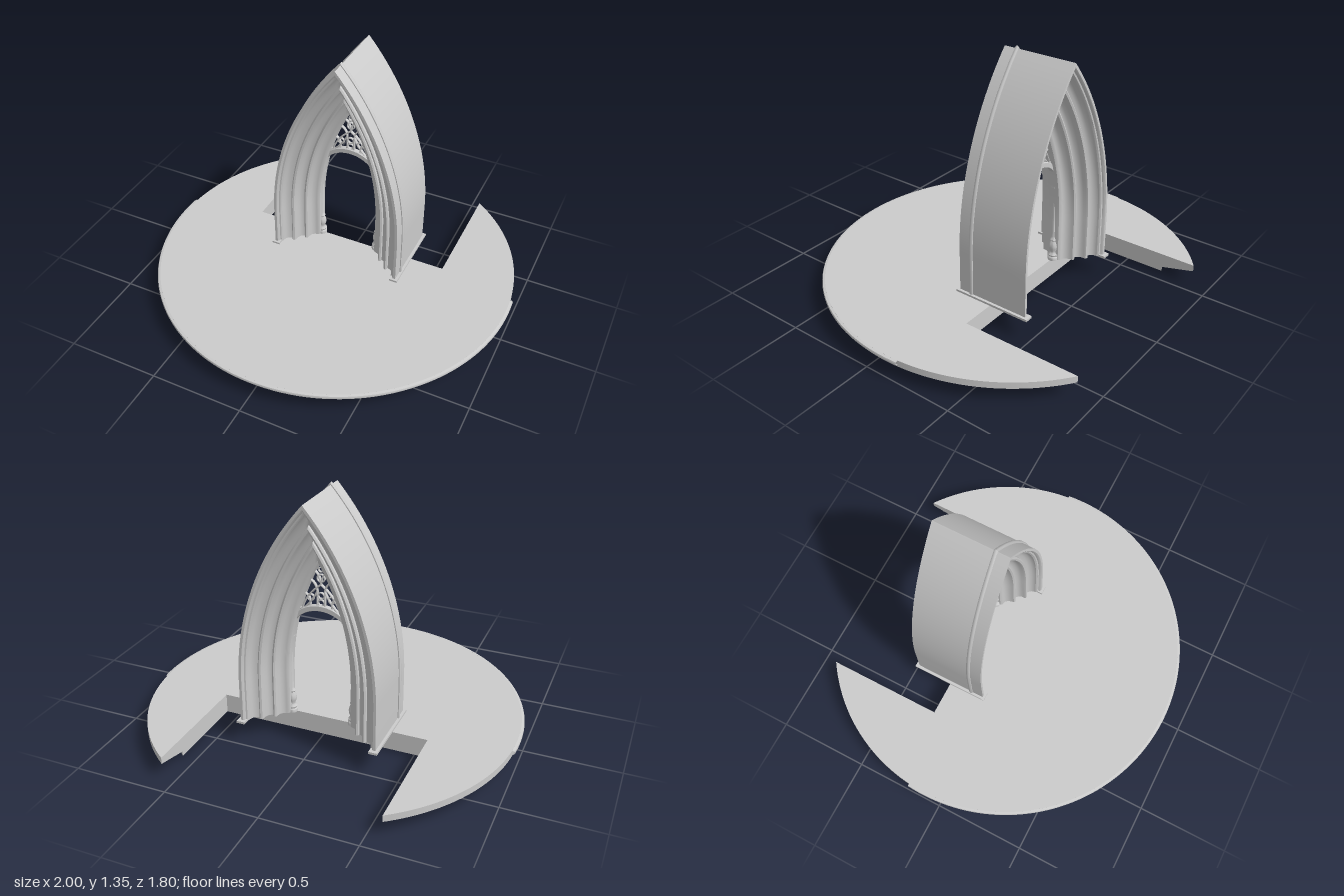
import * as THREE from 'three';
import { toCreasedNormals } from 'three/addons/utils/BufferGeometryUtils.js';

const MID_Z = -0.262, DISC_Z = -0.1, FLOOR = 0.115;
const material = new THREE.MeshStandardMaterial({ color: 0xcccccc, side: THREE.DoubleSide });

function addMesh(parent, name, geometry, x = 0, y = 0, z = 0) {
  const mesh = new THREE.Mesh(geometry, material);
  mesh.name = name;
  mesh.position.set(x, y, z);
  parent.add(mesh);
  return mesh;
}

// Joins closed rings of [x, y, z] and closes both (horizontal) ends
function loft(rings, startNormalY, endNormalY) {
  const n = rings[0].length, index = [];
  for (let i = 0; i < rings.length - 1; i++) {
    for (let j = 0; j < n; j++) {
      const k = (j + 1) % n, a = i * n, b = a + n;
      index.push(a + j, b + j, b + k, a + j, b + k, a + k);
    }
  }
  const cap = (ring, base, normalY) => {
    const pts = ring.map(p => new THREE.Vector2(p[0], p[2]));
    for (const [a, b, c] of THREE.ShapeUtils.triangulateShape(pts, [])) {
      const area = pts[b].clone().sub(pts[a]).cross(pts[c].clone().sub(pts[a]));
      if (-area * normalY > 0) index.push(base + a, base + b, base + c);
      else index.push(base + a, base + c, base + b);
    }
  };
  cap(rings[0], 0, startNormalY);
  cap(rings[rings.length - 1], (rings.length - 1) * n, endNormalY);
  const geometry = new THREE.BufferGeometry();
  geometry.setAttribute('position', new THREE.Float32BufferAttribute(rings.flat(2), 3));
  geometry.setIndex(index);
  return toCreasedNormals(geometry, 0.6);
}

// Pointed arch: two arcs of radius R struck from (+-C, SPRING); d is the inward offset
const R = 1.495, C = 1.125, SPRING = 0.35, STEPS = 28;
function archPoint(d, step) {
  if (step === 0) return [R - C - d, FLOOR + 0.002];
  const angle = Math.acos(C / (R - d)) * (step - 1) / STEPS;
  return [Math.max(0, (R - d) * Math.cos(angle) - C), SPRING + (R - d) * Math.sin(angle)];
}

// Sweeps a profile of [offset, z] up one side of the arch and down the other
function archSweep(profile) {
  const rings = [];
  const top = STEPS + 1;
  for (let i = 0; i <= 2 * top; i++) {
    const side = i <= top ? 1 : -1, step = i <= top ? i : 2 * top - i;
    rings.push(profile.map(([d, z]) => {
      const [x, y] = archPoint(d, step);
      return [side * x, y, z];
    }));
  }
  return loft(rings, -1, -1);
}

// Horizontal outline of the platform: a disc with a rectangular notch at the back
function discRing([r, y]) {
  const a = Math.PI - Math.asin(0.57 / r), ring = [], n = 120;
  for (let i = 0; i <= n; i++) {
    const phi = a - 2 * a * i / n;
    ring.push([r * Math.sin(phi), y, DISC_Z + r * Math.cos(phi)]);
  }
  ring.push([-0.57, y, -0.26], [0.57, y, -0.26]);
  return ring;
}

function createPlatform() {
  const platform = new THREE.Group();
  platform.name = 'platform';
  addMesh(platform, 'slab', loft(
    [[0.842, 0.01], [0.842, 0.036], [0.985, 0.08], [0.985, FLOOR]].map(discRing), -1, 1));

  // Mouldings run around the front part of the rim only
  const rim = (name, points, half) => addMesh(platform, name, toCreasedNormals(
    new THREE.LatheGeometry(points.map(p => new THREE.Vector2(...p)), 110, -half, 2 * half), 0.6),
  0, 0, DISC_Z);
  rim('upperRim', [[0.95, 0.069], [0.975, 0.078], [0.985, 0.083], [0.985, 0.09], [0.993, 0.093],
    [0.999, 0.099], [1, 0.105], [0.997, 0.112], [0.985, FLOOR]], 1.66);
  rim('lowerRim', [[0.82, 0.01], [0.82, 0], [0.848, 0], [0.855, 0.005], [0.855, 0.012], [0.846, 0.016],
    [0.846, 0.022], [0.858, 0.024], [0.862, 0.03], [0.857, 0.036], [0.842, 0.038]], 1.71);

  // Fine curved inlays in front of the doorway
  for (const radius of [0.27, 0.375]) {
    const inlay = new THREE.RingGeometry(radius - 0.003, radius, 64, 1, Math.PI * 1.18, Math.PI * 0.64);
    addMesh(platform, 'floorInlay', inlay.rotateX(-Math.PI / 2), 0, FLOOR + 0.0006, MID_Z);
  }
  return platform;
}

function createPortal() {
  const portal = new THREE.Group();
  portal.name = 'portal';

  // Stepped rolls and hollows, [offset inward, depth from the face]
  const moulding = [
    [0, 0], [0.014, 0], [0.02, 0.006], [0.022, 0.016], [0.03, 0.018], [0.036, 0.026], [0.036, 0.036],
    [0.042, 0.052], [0.056, 0.066], [0.074, 0.072], [0.076, 0.062], [0.084, 0.056], [0.094, 0.06],
    [0.098, 0.07], [0.098, 0.086], [0.106, 0.104], [0.12, 0.116], [0.13, 0.118], [0.133, 0.108],
    [0.142, 0.104], [0.15, 0.11], [0.152, 0.124], [0.158, 0.144], [0.172, 0.158], [0.184, 0.162],
    [0.192, 0.164], [0.2, 0.172], [0.202, 0.184],
  ];
  const front = moulding.map(([d, t]) => [d, -0.058 - t]);
  const back = moulding.map(([d, t]) => [d, -0.466 + t]).reverse();
  addMesh(portal, 'archMouldings', archSweep([...front, ...back]));
  addMesh(portal, 'hoodRib', archSweep([[0.01, -0.142], [-0.005, -0.142], [-0.009, -0.136],
    [-0.009, -0.128], [-0.005, -0.122], [0.01, -0.122]]));

  // Low plinths and slim columns either side of the opening
  const columnProfile = [
    [0, 0], [0.03, 0], [0.03, 0.016], [0.025, 0.022], [0.028, 0.032], [0.02, 0.042], [0.018, 0.05],
    [0.024, 0.066], [0.026, 0.082], [0.022, 0.1], [0.016, 0.115], [0.02, 0.122], [0.014, 0.132],
    [0.011, 0.14], [0.011, 0.4], [0.017, 0.406], [0.017, 0.414], [0.012, 0.42], [0.015, 0.44],
    [0.024, 0.458], [0.026, 0.475], [0.016, 0.482], [0.014, 0.52], [0, 0.52],
  ].map(p => new THREE.Vector2(...p));
  const column = toCreasedNormals(new THREE.LatheGeometry(columnProfile, 20), 0.7);
  for (const side of [-1, 1]) {
    addMesh(portal, 'plinth', new THREE.BoxGeometry(0.045, 0.012, 0.44), side * 0.3625, FLOOR + 0.005, -0.265);
    addMesh(portal, 'column', column, side * 0.174, FLOOR, MID_Z);
  }
  return portal;
}

function createTracery() {
  const tracery = new THREE.Group();
  tracery.name = 'tracery';
  tracery.position.z = MID_Z;

  // Rounded door head
  const head = new THREE.Shape();
  head.moveTo(0.17, 0.56);
  head.lineTo(0.17, 0.6);
  head.absellipse(0, 0.6, 0.17, 0.152, 0, Math.PI, false);
  head.lineTo(-0.17, 0.56);
  head.lineTo(-0.153, 0.56);
  head.lineTo(-0.153, 0.6);
  head.absellipse(0, 0.6, 0.153, 0.128, Math.PI, 0, true);
  head.lineTo(0.153, 0.56);
  const headGeometry = new THREE.ExtrudeGeometry(head, {
    depth: 0.022, curveSegments: 32, bevelThickness: 0.004, bevelSize: 0.003, bevelSegments: 1,
  });
  addMesh(tracery, 'doorHead', toCreasedNormals(headGeometry, 0.5), 0, 0, -0.011);

  // Curved bars: start, control, end; each mirrored
  const bars = [
    [0.02, 0.735, 0.02, 0.78, 0.02, 0.83],
    [0.02, 0.83, 0.026, 0.872, 0.056, 0.885],
    [0.108, 0.7, 0.09, 0.8, 0, 0.865],
    [0.125, 0.695, 0.05, 0.76, 0.02, 0.83],
    [0.06, 0.735, 0.05, 0.8, 0.09, 0.81],
    [0, 0.865, 0.005, 0.92, 0.034, 0.935],
    [0.115, 0.725, 0.095, 0.72, 0.08, 0.735],
  ];
  for (const side of [-1, 1]) {
    for (const [ax, ay, bx, by, cx, cy] of bars) {
      const curve = new THREE.QuadraticBezierCurve3(new THREE.Vector3(side * ax, ay, 0),
        new THREE.Vector3(side * bx, by, 0), new THREE.Vector3(side * cx, cy, 0));
      addMesh(tracery, 'traceryBar', new THREE.TubeGeometry(curve, 14, 0.005, 8)).scale.z = 2;
    }
  }

  // Pierced rings between the bars: x, y, radius
  const rings = [[0, 0.768, 0.016], [0, 0.806, 0.016], [0, 0.9, 0.02],
    [0.056, 0.79, 0.017], [-0.056, 0.79, 0.017], [0, 0.945, 0.012]];
  for (const [x, y, r] of rings) {
    addMesh(tracery, 'traceryRing', new THREE.TorusGeometry(r, 0.004, 8, 20), x, y, 0).scale.z = 2;
  }
  return tracery;
}

export function createModel() {
  const model = new THREE.Group();
  model.name = 'gothicPortal';
  model.add(createPlatform(), createPortal(), createTracery());
  return model;
}
